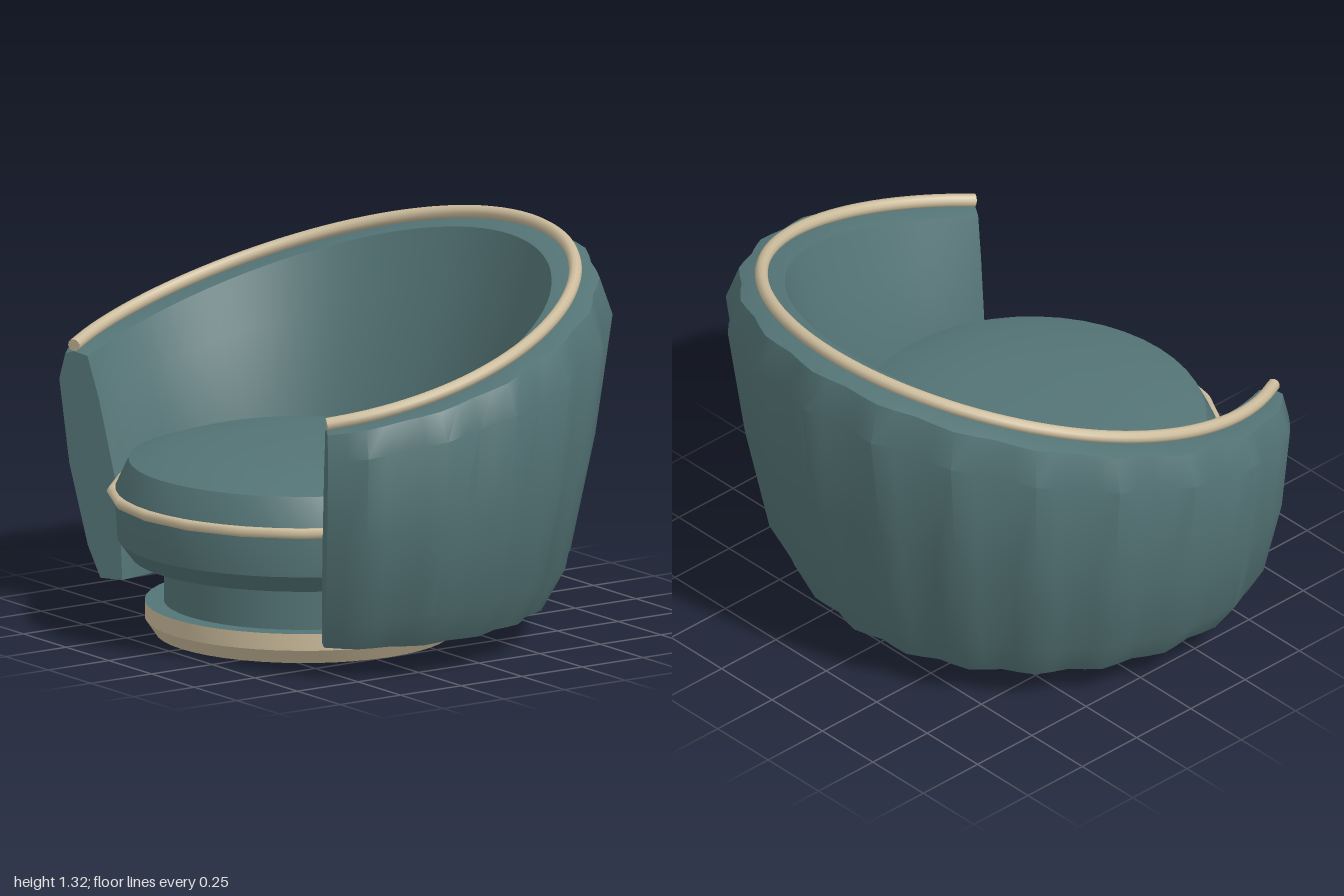
import * as THREE from 'three';
import { toCreasedNormals } from 'three/addons/utils/BufferGeometryUtils.js';

const CZ = 0.195; // shared centre of the round parts
const ARC = (Math.PI * 2) / 3; // the shell reaches this far either side of the back

// Height of the sloping top rail at angle a from the back
function railHeight(a) {
  const c = Math.cos(a);
  return 1.0 + 0.227 * c + 0.073 * c * c;
}
const rise = (a) => (railHeight(a) - 0.905) / 0.395;
const polar = (r, y, a) => new THREE.Vector3(r * Math.sin(a), y, CZ - r * Math.cos(a));

// Shell cross-section, outer foot over the crest to inner foot:
// [radius at back, radius at side, radius at arm end, height fraction, flute depth]
const SECTION = [
  [0.805, 0.82, 0.768, 0, 0.012], [0.885, 0.91, 0.815, 0.14, 0.012],
  [0.972, 0.97, 0.885, 0.5, 0.013], [1.038, 0.985, 0.922, 0.87, 0.013],
  [1.0, 0.94, 0.895, 0.985, 0.008],
  [0.93, 0.858, 0.858, 1, 0],
  [0.845, 0.79, 0.805, 0.985, 0], [0.785, 0.73, 0.762, 0.8, 0],
  [0.66, 0.63, 0.702, 0.45, 0], [0.63, 0.63, 0.685, 0.28, 0], [0.64, 0.64, 0.675, 0, 0],
];

function shellGeometry() {
  const steps = 60, n = SECTION.length, pos = [], index = [];
  // Rounding towards the arm ends, beginning at a given angle in degrees
  const rounding = (a, start) => {
    const s = THREE.MathUtils.degToRad(start);
    return Math.pow(Math.max(0, (Math.abs(a) - s) / (ARC - s)), 2);
  };
  for (let i = 0; i <= steps; i++) {
    const a = -ARC + (2 * ARC * i) / steps;
    const top = railHeight(a) - 0.02;
    SECTION.forEach(([back, side, end, t, flute], j) => {
      const body = THREE.MathUtils.lerp(side, back, rise(a));
      const r = THREE.MathUtils.lerp(body, end, rounding(a, j < 5 ? 85 : 102));
      pos.push(...polar(r + flute * Math.cos(a * 22.5), 0.11 + t * (top - 0.11), a).toArray());
    });
  }
  for (let i = 0; i < steps; i++) {
    for (let j = 0; j < n; j++) {
      const a = i * n + j, b = i * n + ((j + 1) % n);
      index.push(a, b, a + n, b, b + n, a + n);
    }
  }
  // Flat arm ends, joining outer points to inner points
  for (let j = 0; j < 5; j++) {
    const o = steps * n, p = j, q = j + 1, s = n - 2 - j, u = n - 1 - j;
    index.push(p, u, q, o + p, o + q, o + u);
    if (s !== q) index.push(q, u, s, o + q, o + s, o + u);
  }
  const g = new THREE.BufferGeometry();
  g.setAttribute('position', new THREE.Float32BufferAttribute(pos, 3));
  g.setIndex(index);
  return toCreasedNormals(g, 0.6);
}

function lathe(points) {
  const g = new THREE.LatheGeometry(points.map(([r, y]) => new THREE.Vector2(r, y)), 48);
  return toCreasedNormals(g, 0.5);
}

export function createModel() {
  const model = new THREE.Group();
  model.name = 'tubChair';
  const fabric = new THREE.MeshStandardMaterial({ color: 0x547476 });
  fabric.name = 'tealFabric';
  const trim = new THREE.MeshStandardMaterial({ color: 0xccbc9c });
  trim.name = 'champagneTrim';

  function add(name, geometry, material, y = 0, z = CZ) {
    const m = new THREE.Mesh(geometry, material);
    m.name = name;
    m.position.set(0, y, z);
    model.add(m);
    return m;
  }

  // Fluted wraparound back and arms
  add('shell', shellGeometry(), fabric, 0, 0);

  // Piping along the crest, with closed ends
  const path = [];
  for (let i = 0; i <= 32; i++) {
    const a = -ARC + (2 * ARC * i) / 32;
    path.push(polar(0.855 + 0.073 * rise(a), railHeight(a), a));
  }
  const curve = new THREE.CatmullRomCurve3(path);
  add('topPiping', new THREE.TubeGeometry(curve, 80, 0.022, 10), trim, 0, 0);
  for (const t of [0, 1]) {
    const cap = add('pipingEnd', new THREE.CircleGeometry(0.022, 10), trim);
    cap.position.copy(curve.getPoint(t));
    const out = curve.getTangent(t).multiplyScalar(t ? 1 : -1);
    cap.quaternion.setFromUnitVectors(new THREE.Vector3(0, 0, 1), out);
  }

  // Seat cushion with chamfered edges and a piping band
  add('seatCushion', lathe([
    [0, 0.265], [0.585, 0.265], [0.63, 0.325], [0.64, 0.48], [0.636, 0.5],
    [0.592, 0.595], [0.45, 0.64], [0.25, 0.652], [0, 0.655],
  ]), fabric);
  const band = new THREE.TorusGeometry(0.647, 0.019, 6, 20);
  band.rotateX(Math.PI / 2);
  add('seatPiping', band, trim, 0.48);

  // Pedestal and plinth
  add('pedestal', new THREE.CylinderGeometry(0.473, 0.473, 0.17, 48), fabric, 0.19);
  add('plinthBand', lathe([[0.503, 0], [0.537, 0.05], [0.537, 0.108]]), trim);
  const disc = (r, turn) => new THREE.CircleGeometry(r, 48).rotateX(turn);
  add('plinthTop', disc(0.537, -Math.PI / 2), fabric, 0.108);
  add('plinthBottom', disc(0.503, Math.PI / 2), fabric, 0);

  return model;
}
